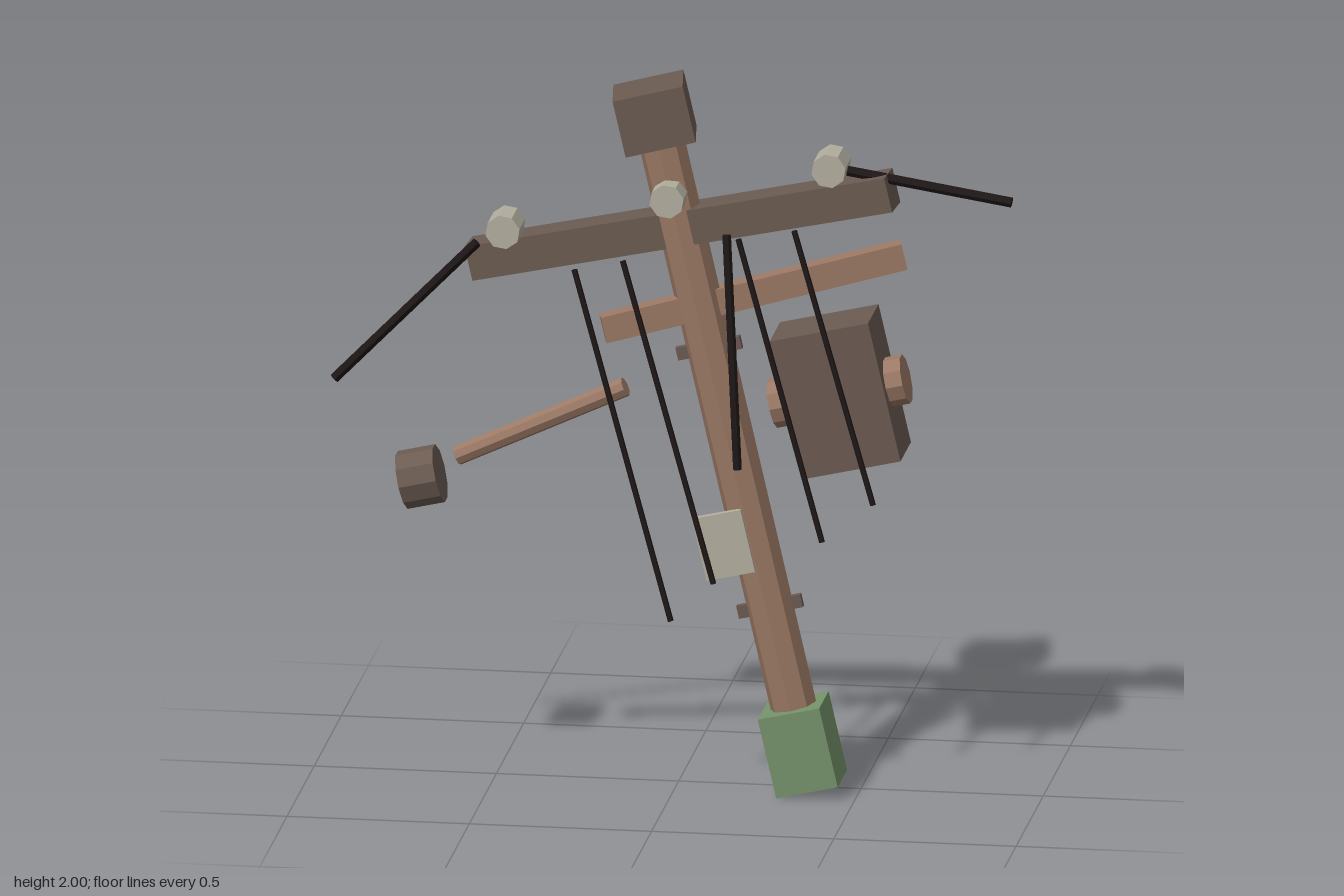
import * as THREE from 'three';

const LEAN = 13 * Math.PI / 180;

export function createModel() {
  const model = new THREE.Group();
  model.name = 'leaningUtilityPole';

  const mat = (name, color) => {
    const m = new THREE.MeshStandardMaterial({ color, flatShading: true });
    m.name = name;
    return m;
  };
  const wood = mat('wood', 0x9c7965);
  const darkWood = mat('darkWood', 0x6b5b51);
  const moss = mat('mossGreen', 0x75936a);
  const ceramic = mat('paleCeramic', 0xb3af9f);
  const black = mat('wireBlack', 0x1f1717);

  const add = (name, geometry, material, pos) => {
    const mesh = new THREE.Mesh(geometry, material);
    mesh.name = name;
    mesh.position.set(...pos);
    model.add(mesh);
    return mesh;
  };
  // Box leaning with the pole, with an optional turn about its own upright axis
  const box = (name, size, material, pos, yaw = 0) => {
    const m = add(name, new THREE.BoxGeometry(...size), material, pos);
    m.rotation.set(0, yaw * Math.PI / 180, LEAN, 'ZYX');
    return m;
  };
  // Cylinder lying along the leaning sideways axis
  const drum = (name, radius, length, material, pos) => {
    const g = new THREE.CylinderGeometry(radius, radius, length, 10).rotateZ(Math.PI / 2);
    add(name, g, material, pos).rotation.z = LEAN;
  };
  // Straight rod between two points
  const rod = (name, a, b, radius, sides, material) => {
    const from = new THREE.Vector3(...a), to = new THREE.Vector3(...b);
    const dir = to.clone().sub(from);
    const g = new THREE.CylinderGeometry(radius, radius, dir.length(), sides);
    const m = add(name, g, material, from.add(to).multiplyScalar(0.5).toArray());
    m.quaternion.setFromUnitVectors(new THREE.Vector3(0, 1, 0), dir.normalize());
  };

  // Post, foot and cap
  rod('post', [0.346, 0.136, 0.042], [-0.058, 1.9, 0.042], 0.064, 8, wood);
  box('foot', [0.173, 0.226, 0.173], moss, [0.346, 0.136, 0.045]);
  box('cap', [0.195, 0.16, 0.19], darkWood, [-0.06, 1.9, 0.042], 8);

  // Cross arms
  box('upperCrossArm', [1.2, 0.098, 0.1], darkWood, [0.016, 1.59, 0.04], -4.5);
  box('lowerCrossArm', [0.84, 0.073, 0.06], wood, [0.206, 1.4, 0.01], 14);

  // Insulators on the upper arm
  for (const [x, y] of [[-0.46, 1.58], [-0.01, 1.685], [0.434, 1.79]]) {
    const g = new THREE.CylinderGeometry(0.048, 0.048, 0.105, 8).rotateX(Math.PI / 2);
    add('insulator', g, ceramic, [x, y, 0.104]).rotation.z = LEAN;
  }

  // Transformer with a knob on each side
  box('transformer', [0.277, 0.396, 0.193], darkWood, [0.434, 1.106, -0.062]);
  drum('transformerKnobs', 0.068, 0.375, wood, [0.432, 1.108, -0.062]);

  // Lamp and its loose arm
  rod('lampArm', [-0.605, 0.905, 0.02], [-0.14, 1.125, 0.04], 0.027, 8, wood);
  drum('lamp', 0.08, 0.105, darkWood, [-0.704, 0.84, 0.013]);

  // Notice plate and climbing steps
  box('noticePlate', [0.137, 0.178, 0.02], ceramic, [0.14, 0.71, 0.106]);
  for (const [x, y] of [[0.257, 0.524], [0.09, 1.246]]) {
    box('climbingStep', [0.18, 0.036, 0.02], darkWood, [x, y, 0.042]);
  }

  // Snapped line wires at the arm ends
  rod('rightLine', [-0.54, 1.53, 0.09], [-0.926, 1.14, 0.125], 0.014, 6, black);
  rod('leftLine', [0.476, 1.775, 0.09], [0.93, 1.71, 0.11], 0.014, 6, black);

  // Hanging wires: top x, y, bottom x, y, radius
  for (const [x0, y0, x1, y1, r] of [
    [-0.27, 1.47, 0, 0.5, 0.008],
    [-0.137, 1.5, 0.117, 0.61, 0.008],
    [0.148, 1.585, 0.183, 0.935, 0.012],
    [0.18, 1.575, 0.415, 0.74, 0.008],
    [0.333, 1.605, 0.555, 0.85, 0.008],
  ]) rod('hangingWire', [x0, y0, 0.11], [x1, y1, 0.147], r, 6, black);

  return model;
}
